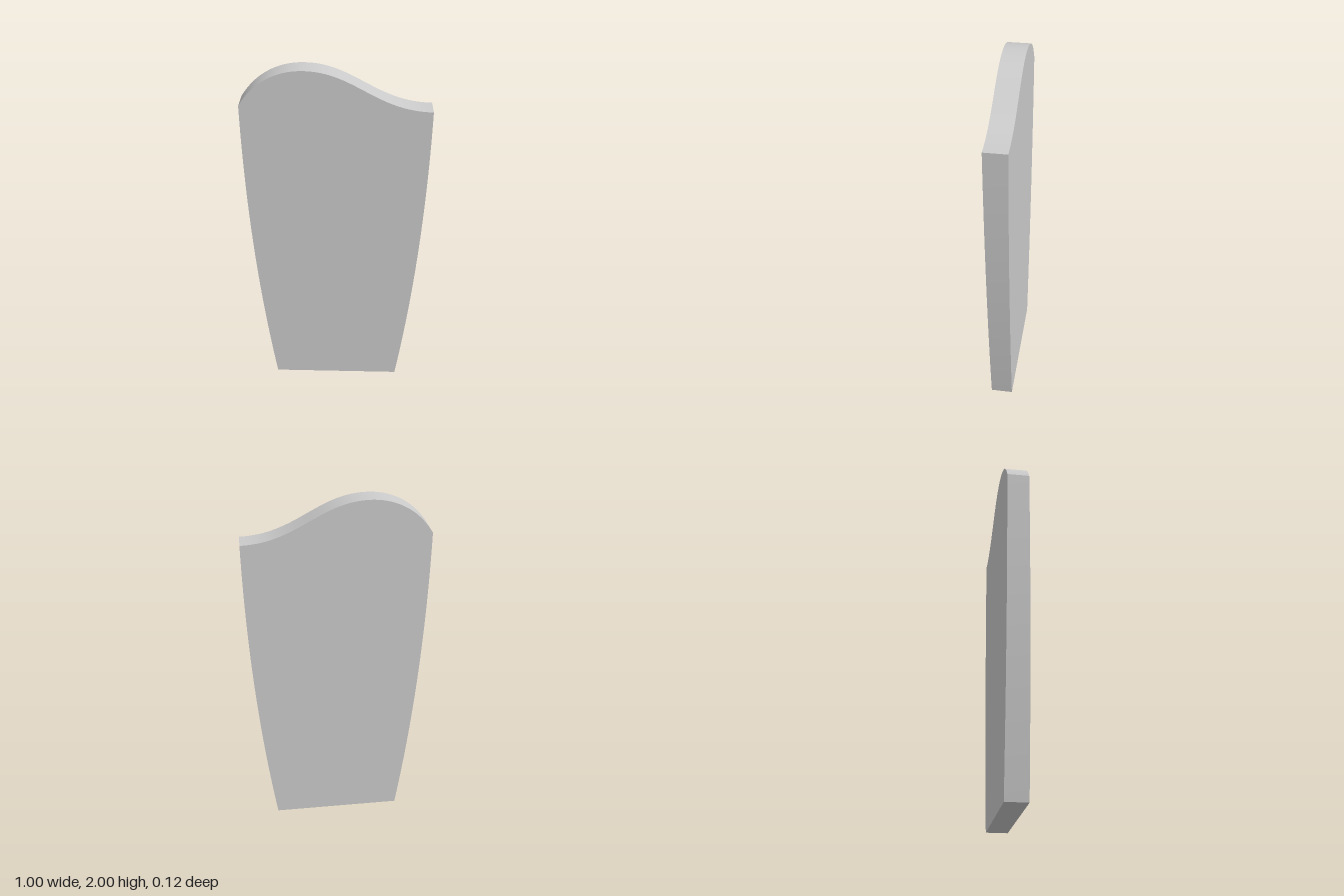
import * as THREE from 'three';
import { toCreasedNormals } from 'three/addons/utils/BufferGeometryUtils.js';

export function createModel() {
  const group = new THREE.Group();
  group.name = 'uprightSlab';
  const depth = 0.124;

  // Outline: flat foot, flared sides, asymmetric wave along the top
  const outline = new THREE.Shape();
  outline.moveTo(-0.37, 0);
  outline.lineTo(0.37, 0);
  outline.bezierCurveTo(0.455, 0.6, 0.497, 1.2, 0.497, 1.787);
  outline.bezierCurveTo(0.2, 1.79, 0.09, 2, -0.17, 2);
  outline.bezierCurveTo(-0.3, 2, -0.42, 1.94, -0.5, 1.81);
  outline.bezierCurveTo(-0.5, 1.2, -0.455, 0.6, -0.37, 0);

  // Slab: crisp rims, smooth curved edges
  const extruded = new THREE.ExtrudeGeometry(outline, {
    depth, bevelEnabled: false, curveSegments: 32,
  });
  extruded.translate(0, 0, -depth / 2);
  const slab = new THREE.Mesh(
    toCreasedNormals(extruded, Math.PI / 6),
    new THREE.MeshStandardMaterial({ color: 0xcccccc })
  );
  slab.name = 'slab';
  group.add(slab);
  return group;
}
